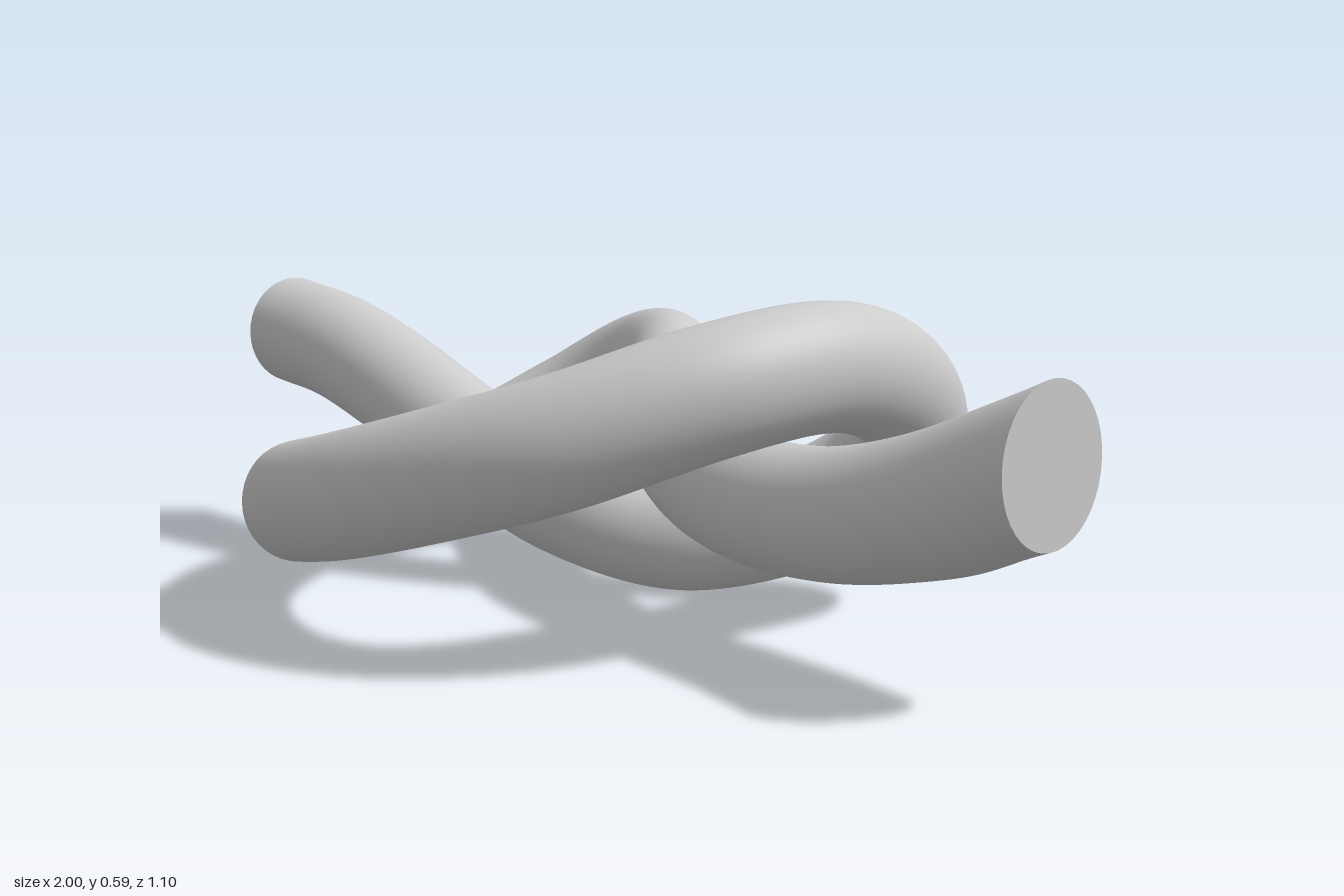
import * as THREE from 'three';

// Centre line of the knot: x, y, z, then half width and half height of the section
const STATIONS = [
  [-1.0, 0.43, -0.05, 0.11, 0.11],
  [-0.8, 0.408, -0.037, 0.107, 0.107],
  [-0.6, 0.355, -0.03, 0.104, 0.106],
  [-0.4, 0.268, -0.052, 0.1, 0.106],
  [-0.2, 0.165, -0.13, 0.098, 0.106],
  [-0.03, 0.112, -0.25, 0.095, 0.108],
  [0.11, 0.14, -0.38, 0.093, 0.108],
  [0.26, 0.225, -0.458, 0.091, 0.108],
  [0.42, 0.34, -0.4, 0.091, 0.106],
  [0.51, 0.44, -0.24, 0.092, 0.105],
  [0.535, 0.483, -0.06, 0.093, 0.105],
  [0.49, 0.455, 0.15, 0.095, 0.106],
  [0.34, 0.375, 0.335, 0.098, 0.107],
  [0.14, 0.31, 0.428, 0.098, 0.107],
  [-0.08, 0.252, 0.446, 0.098, 0.107],
  [-0.34, 0.198, 0.37, 0.097, 0.107],
  [-0.56, 0.152, 0.19, 0.094, 0.107],
  [-0.665, 0.136, -0.04, 0.092, 0.107],
  [-0.635, 0.185, -0.26, 0.09, 0.108],
  [-0.52, 0.282, -0.407, 0.089, 0.108],
  [-0.36, 0.375, -0.457, 0.089, 0.108],
  [-0.2, 0.395, -0.398, 0.093, 0.108],
  [-0.04, 0.35, -0.263, 0.097, 0.108],
  [0.13, 0.287, -0.145, 0.099, 0.107],
  [0.33, 0.25, -0.075, 0.102, 0.107],
  [0.56, 0.252, -0.045, 0.105, 0.108],
  [0.79, 0.302, -0.036, 0.109, 0.114],
  [1.0, 0.385, -0.033, 0.113, 0.125],
];
const RINGS = 300, SIDES = 40;
const path = new THREE.CatmullRomCurve3(STATIONS.map(s => new THREE.Vector3(s[0], s[1], s[2])), false, 'catmullrom', 0.5);
const section = new THREE.CatmullRomCurve3(STATIONS.map(s => new THREE.Vector3(s[3], s[4], 0)), false, 'catmullrom', 0.5);

// Points of the oval section at t; near the ends it turns into a plane across x
function ring(t) {
  const centre = path.getPoint(t), size = section.getPoint(t);
  const dir = path.getTangent(t);
  const endBlend = 1 - THREE.MathUtils.smoothstep(Math.min(t, 1 - t), 0, 0.05);
  dir.lerp(new THREE.Vector3(1, 0, 0), endBlend).normalize();
  const side = new THREE.Vector3().crossVectors(dir, new THREE.Vector3(0, 1, 0)).normalize();
  const up = new THREE.Vector3().crossVectors(side, dir);
  return Array.from({ length: SIDES }, (_, j) => {
    const a = j / SIDES * Math.PI * 2;
    return centre.clone()
      .addScaledVector(side, Math.cos(a) * size.x)
      .addScaledVector(up, Math.sin(a) * size.y);
  });
}

function ropeGeometry() {
  const pos = [], index = [];
  for (let i = 0; i <= RINGS; i++) ring(i / RINGS).forEach(p => pos.push(p.x, p.y, p.z));
  for (let i = 0; i < RINGS; i++) {
    for (let j = 0; j < SIDES; j++) {
      const k = (j + 1) % SIDES;
      const a = i * SIDES + j, b = i * SIDES + k, c = a + SIDES, d = b + SIDES;
      index.push(a, b, c, b, d, c);
    }
  }
  return finish(pos, index);
}

// Flat disc closing one end
function capGeometry(t) {
  const pos = path.getPoint(t).toArray(), index = [];
  ring(t).forEach(p => pos.push(p.x, p.y, p.z));
  for (let j = 0; j < SIDES; j++) {
    const a = 1 + j, b = 1 + (j + 1) % SIDES;
    if (t === 0) index.push(0, b, a);
    else index.push(0, a, b);
  }
  return finish(pos, index);
}

function finish(pos, index) {
  const g = new THREE.BufferGeometry();
  g.setAttribute('position', new THREE.Float32BufferAttribute(pos, 3));
  g.setIndex(index);
  g.computeVertexNormals();
  return g;
}

export function createModel() {
  const group = new THREE.Group();
  group.name = 'overhandKnot';
  const material = new THREE.MeshStandardMaterial({ color: 0xcccccc, side: THREE.DoubleSide });
  const add = (name, geometry) => {
    const mesh = new THREE.Mesh(geometry, material);
    mesh.name = name;
    group.add(mesh);
  };
  add('rope', ropeGeometry());
  add('rightEnd', capGeometry(0));
  add('leftEnd', capGeometry(1));
  return group;
}
